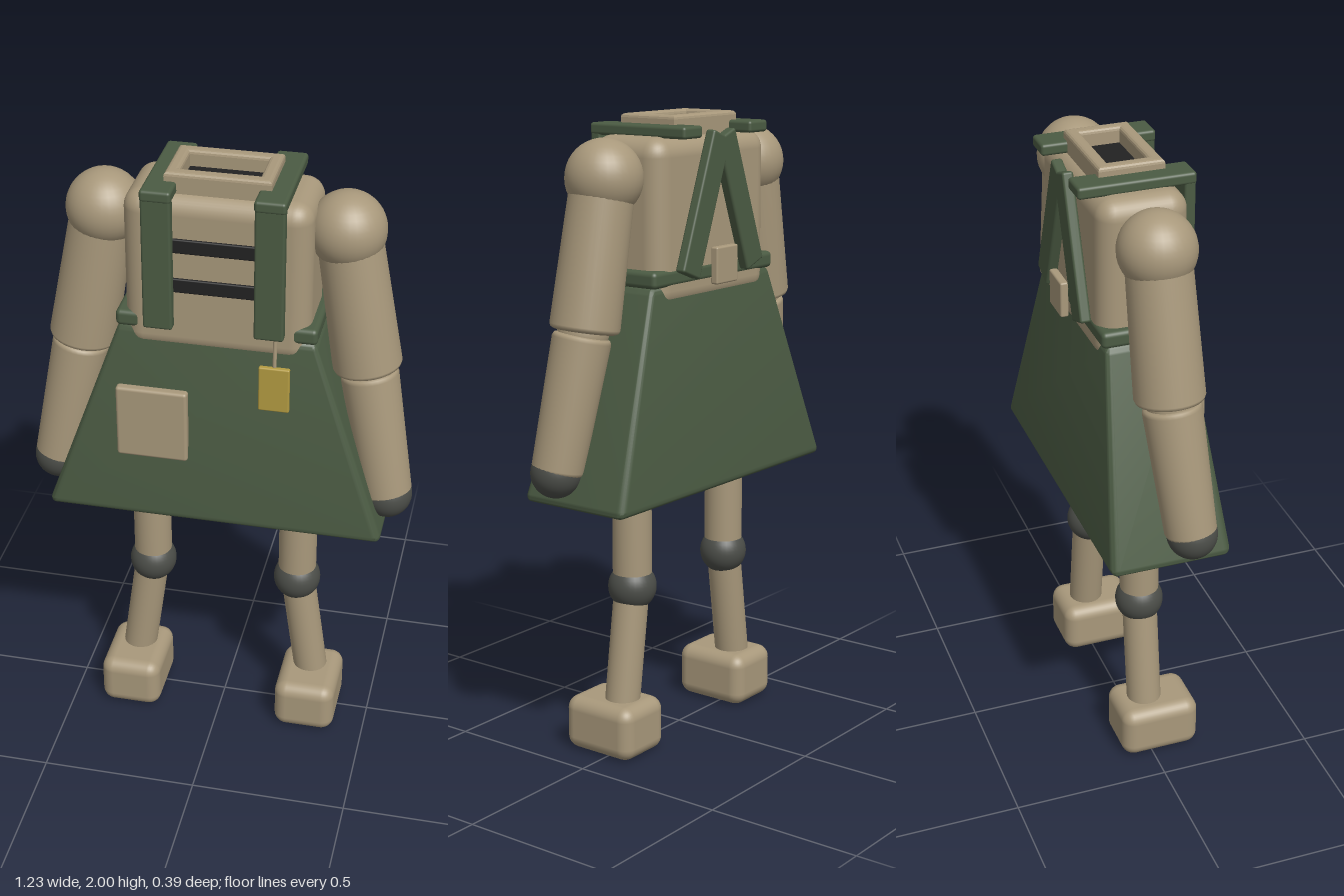
import * as THREE from 'three';
import { RoundedBoxGeometry } from 'three/addons/geometries/RoundedBoxGeometry.js';
import { toCreasedNormals } from 'three/addons/utils/BufferGeometryUtils.js';

const material = (name, color) => {
  const m = new THREE.MeshStandardMaterial({ color });
  m.name = name;
  return m;
};

export function createModel() {
  const tan = material('tan', 0xa8987b);
  const green = material('apron green', 0x4b5b43);
  const grey = material('joint grey', 0x4b4d48);
  const black = material('black', 0x222222);
  const gold = material('gold', 0xb39b42);
  const model = new THREE.Group();
  model.name = 'apronFigure';

  const add = (name, geometry, mat, x = 0, y = 0, z = 0) => {
    const mesh = new THREE.Mesh(geometry, mat);
    mesh.name = name;
    mesh.position.set(x, y, z);
    model.add(mesh);
    return mesh;
  };
  // rounded box given by its limits on each axis
  const box = (name, mat, [x0, x1], [y0, y1], [z0, z1], r) =>
    add(name, new RoundedBoxGeometry(x1 - x0, y1 - y0, z1 - z0, 4, r), mat,
      (x0 + x1) / 2, (y0 + y1) / 2, (z0 + z1) / 2);
  const ball = (name, mat, r, x, y, z) =>
    add(name, new THREE.SphereGeometry(r, 32, 20), mat, x, y, z);
  // tapered limb with softly rounded rims, running from a to b
  const limb = (name, mat, a, b, ra, rb, e = 0.015) => {
    const from = new THREE.Vector3(...a), to = new THREE.Vector3(...b);
    const dir = to.clone().sub(from), len = dir.length();
    const pts = [[0, 0], [ra - e, 0], [ra - e * 0.3, e * 0.3], [ra, e],
      [rb, len - e], [rb - e * 0.3, len - e * 0.3], [rb - e, len], [0, len]];
    const geo = new THREE.LatheGeometry(pts.map(p => new THREE.Vector2(...p)), 32);
    const mesh = add(name, geo, mat, ...a);
    mesh.quaternion.setFromUnitVectors(new THREE.Vector3(0, 1, 0), dir.normalize());
    return mesh;
  };

  // torso and chest vents
  box('torso', tan, [-0.285, 0.285], [1.42, 1.94], [-0.14, 0.14], 0.06);
  for (const y of [1.657, 1.787])
    box('chestVent', black, [-0.15, 0.15], [y - 0.023, y + 0.023], [0.12, 0.148], 0.005);

  // open neck collar with a dark floor
  const rect = (shape, w, d) => shape.moveTo(-w, -d).lineTo(w, -d).lineTo(w, d).lineTo(-w, d).closePath();
  const collar = rect(new THREE.Shape(), 0.148, 0.09);
  collar.holes.push(rect(new THREE.Path(), 0.131, 0.073));
  const collarGeo = new THREE.ExtrudeGeometry(collar, {
    depth: 0.056, bevelThickness: 0.012, bevelSize: 0.012, bevelSegments: 3,
  });
  collarGeo.rotateX(-Math.PI / 2);
  add('neckCollar', collarGeo, tan, 0, 1.932, 0);
  box('neckOpening', black, [-0.125, 0.125], [1.93, 1.95], [-0.067, 0.067], 0.004);

  // flared skirt: a rounded box narrowed towards the waist
  const H = 0.66;
  const skirtGeo = new RoundedBoxGeometry(1.08, H, 0.39, 4, 0.025);
  const p = skirtGeo.attributes.position;
  for (let i = 0; i < p.count; i++) {
    const t = p.getY(i) / H + 0.5;
    p.setX(i, p.getX(i) * (1 - 0.44 * t));
    p.setZ(i, p.getZ(i) * (1 - 0.33 * t));
  }
  add('skirt', toCreasedNormals(skirtGeo, 0.6), green, 0, 0.84 + H / 2, 0);
  box('waistband', green, [-0.31, 0.31], [1.495, 1.547], [-0.143, 0.138], 0.015);

  // pocket patch, hanging tag and back label
  box('pocketPatch', tan, [-0.305, -0.08], [1.06, 1.305], [0.155, 0.188], 0.01);
  box('hangingTag', gold, [0.14, 0.235], [1.275, 1.425], [0.158, 0.176], 0.005);
  limb('tagCord', tan, [0.187, 1.42, 0.162], [0.187, 1.54, 0.158], 0.006, 0.006, 0.001);
  box('backLabel', tan, [-0.055, 0.055], [1.485, 1.6], [-0.188, -0.162], 0.006);

  for (const s of [1, -1]) {
    const span = (a, b) => (s > 0 ? [a, b] : [-b, -a]);

    // shoulder straps, crossing to a peak at the back
    box('frontStrap', green, span(0.124, 0.214), [1.52, 1.965], [0.143, 0.178], 0.008);
    box('topStrap', green, span(0.122, 0.216), [1.935, 1.972], [-0.183, 0.18], 0.01);
    box('backStrap', green, span(0.045, 0.135), [1.51, 1.955], [-0.177, -0.142], 0.008)
      .rotation.z = s * 0.36;

    // arm
    ball('shoulder', tan, 0.118, s * 0.368, 1.825, 0);
    limb('upperArm', tan, [s * 0.372, 1.82, 0], [s * 0.449, 1.375, 0.015], 0.098, 0.107);
    ball('elbow', tan, 0.078, s * 0.451, 1.37, 0.018);
    limb('forearm', tan, [s * 0.454, 1.365, 0.018], [s * 0.533, 0.95, 0.058], 0.09, 0.08);
    ball('hand', grey, 0.078, s * 0.535, 0.952, 0.06);

    // leg
    limb('thigh', tan, [s * 0.245, 0.535, 0], [s * 0.245, 0.9, 0], 0.062, 0.062, 0.004);
    ball('knee', grey, 0.077, s * 0.245, 0.533, 0);
    limb('shin', tan, [s * 0.247, 0.535, 0], [s * 0.302, 0.14, 0], 0.056, 0.056, 0.004);
    box('foot', tan, span(0.2, 0.402), [0, 0.175], [-0.1, 0.16], 0.042);
  }
  return model;
}
